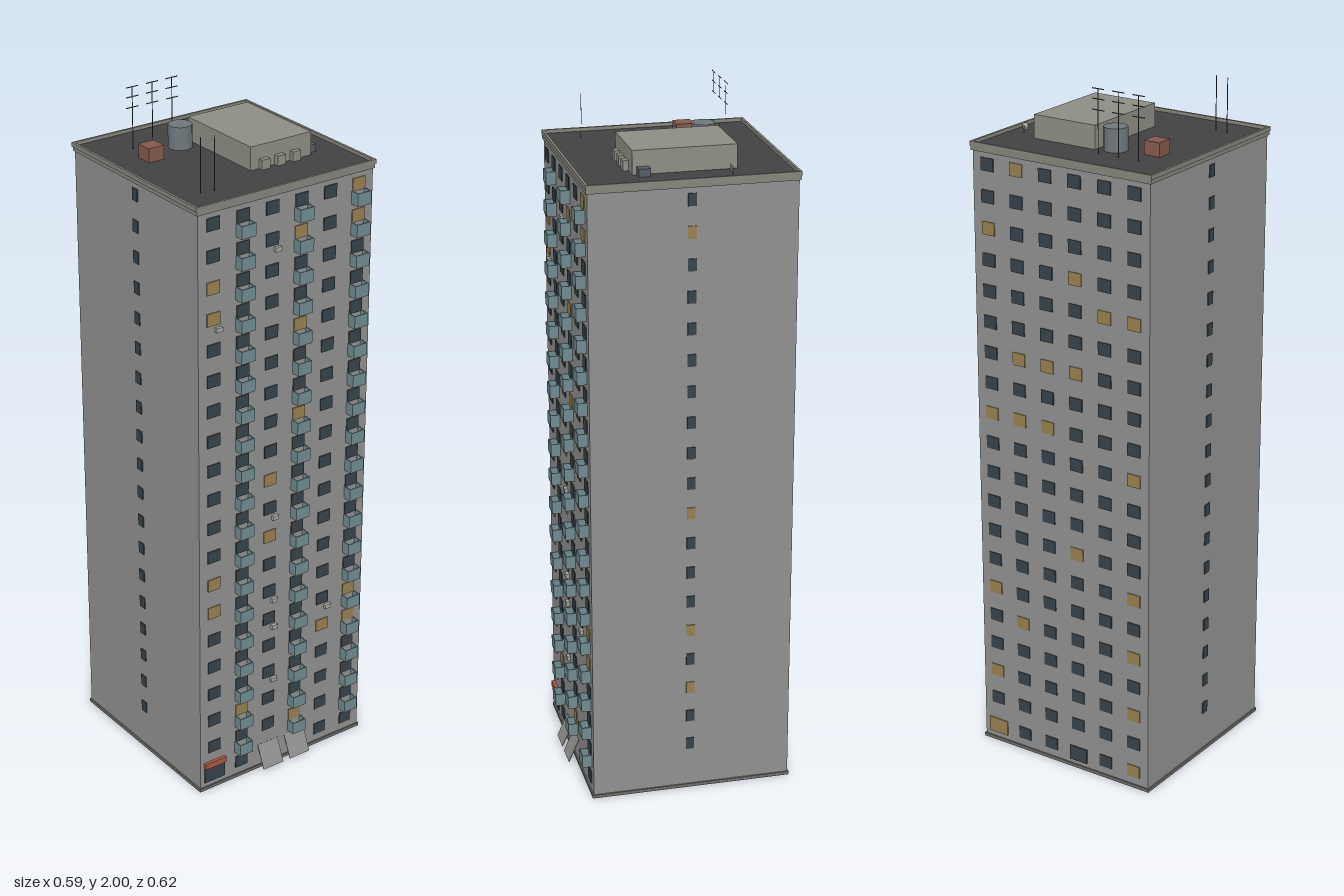
import * as THREE from 'three';
import { mergeGeometries } from 'three/addons/utils/BufferGeometryUtils.js';

const CZ = -0.015, FRONT = 0.275, BACK = -0.305, SIDE = 0.29;
const COLS = [0, 1, 2, 3, 4, 5].map((i) => -0.241 + i * 0.0965);
const rowY = (r) => 0.052 + r * 0.0905;

const box = (w, h, d, x, y, z) => new THREE.BoxGeometry(w, h, d).translate(x, y, z);
const plate = (w, h, x, y, z) => new THREE.PlaneGeometry(w, h).translate(x, y, z);

export function createModel() {
  const model = new THREE.Group();
  const add = (name, color, geos, side = THREE.FrontSide) => {
    const mesh = new THREE.Mesh(
      mergeGeometries(geos),
      new THREE.MeshStandardMaterial({ color, side, flatShading: true })
    );
    mesh.name = name;
    model.add(mesh);
  };

  // Tower block, plinth and roof
  add('tower', 0x8f908f, [box(0.58, 1.81, 0.58, 0, 0.905, CZ)]);
  add('plinth', 0x6c6c6a, [box(0.588, 0.01, 0.588, 0, 0.005, CZ)]);
  add('roofDeck', 0x414143, [box(0.582, 0.01, 0.578, 0, 1.815, CZ)]);
  const parapet = [];
  for (const s of [-1, 1]) {
    parapet.push(box(0.594, 0.013, 0.007, 0, 1.8235, CZ + s * 0.2915));
    parapet.push(box(0.007, 0.013, 0.576, s * 0.2935, 1.8235, CZ));
    parapet.push(box(0.588, 0.012, 0.006, 0, 1.811, CZ + s * 0.291));
    parapet.push(box(0.004, 0.012, 0.58, s * 0.292, 1.811, CZ));
  }
  add('parapet', 0x85847c, parapet);

  // Windows: rows listed per column are lit
  const dark = [], lit = [];
  const frontLit = [[17, 16, 7, 6], [2], [10, 8], [18, 15, 12, 1], [4], [19, 18, 5, 4]];
  const backLit = [[17, 11, 5, 2], [19, 13, 11, 4], [13, 11], [16, 13, 7], [15], [15, 10, 6, 4, 2, 0]];
  const sideLit = [18, 9, 5, 3];
  COLS.forEach((x, c) => {
    for (let r = 0; r < 20; r++) {
      // Ground-floor openings replace some of the windows
      if (r > 0 || ![0, 2, 3].includes(c)) {
        (frontLit[c].includes(r) ? lit : dark).push(box(0.042, 0.037, 0.004, x, rowY(r), FRONT + 0.001));
      }
      const b = 5 - c;
      if (r > 0 || ![0, 3].includes(b)) {
        (backLit[b].includes(r) ? lit : dark).push(box(0.042, 0.037, 0.004, x, rowY(r), BACK - 0.001));
      }
    }
  });
  for (let r = 1; r < 20; r++) {
    for (const s of [-1, 1]) {
      const on = s > 0 && sideLit.includes(r);
      (on ? lit : dark).push(box(0.004, 0.035, 0.024, s * (SIDE + 0.001), rowY(r), -0.01));
    }
  }
  // Wide ground-floor openings
  dark.push(box(0.07, 0.046, 0.005, COLS[0], 0.048, FRONT + 0.001));
  dark.push(box(0.06, 0.045, 0.005, COLS[2], 0.045, BACK - 0.001));
  lit.push(box(0.065, 0.046, 0.005, COLS[5], 0.048, BACK - 0.001));
  add('darkWindows', 0x36424a, dark);
  add('litWindows', 0x98804f, lit);
  add('shopAwning', 0xa9573f, [box(0.072, 0.018, 0.01, COLS[0], 0.084, FRONT + 0.005)]);

  // Balconies on alternate columns
  const floors = [], panels = [];
  for (const c of [1, 3, 5]) {
    for (let r = 1; r < 20; r++) {
      const x = COLS[c], y = rowY(r) - 0.036;
      floors.push(box(0.046, 0.004, 0.028, x, y - 0.017, FRONT + 0.013));
      panels.push(box(0.046, 0.034, 0.003, x, y + 0.002, FRONT + 0.0265));
      for (const s of [-1, 1]) panels.push(box(0.003, 0.034, 0.025, x + s * 0.0215, y + 0.002, FRONT + 0.0125));
    }
  }
  add('balconyFloors', 0x82837f, floors);
  add('balconyPanels', 0x6f8b91, panels);

  // Sloping entrance covers
  add('entranceCovers', 0x8f908c, [2, 3].map((c) =>
    new THREE.BoxGeometry(0.072, 0.077, 0.002).rotateX(-0.41).translate(COLS[c], 0.044, FRONT + 0.0155)));

  // Wall-mounted cooling units
  const units = [[-0.225, 1.467], [-0.032, 1.65], [-0.032, 0.833], [-0.032, 0.563],
    [-0.032, 0.473], [-0.032, 0.294], [0.162, 0.473]];
  add('coolingUnits', 0xa6a6a0, units.map(([x, y]) => box(0.02, 0.013, 0.01, x, y, FRONT + 0.005)));

  // Rooftop plant
  add('plantRoom', 0x8e8d84, [box(0.203, 0.068, 0.29, 0.0885, 1.853, -0.015)]);
  add('roofVents', 0x8e8d84, [0.028, 0.08, 0.132].map((x) => box(0.027, 0.028, 0.016, x, 1.834, 0.137)));
  add('sideUnit', 0x565b66, [box(0.028, 0.022, 0.033, 0.203, 1.831, 0.101)]);
  add('brickStack', 0x85594c, [box(0.05, 0.04, 0.05, -0.175, 1.84, -0.102)]);
  add('waterTank', 0x6f777a, [new THREE.CylinderGeometry(0.034, 0.034, 0.066, 12).translate(-0.06, 1.853, -0.13)]);
  add('dish', 0x9a9a94, [
    new THREE.CylinderGeometry(0.011, 0.005, 0.005, 12).rotateX(Math.PI / 2).translate(0.245, 1.838, -0.13),
    new THREE.CylinderGeometry(0.0015, 0.0015, 0.02, 6).translate(0.245, 1.828, -0.133),
  ]);

  // Flat aerials with crossbars, and two plain masts
  const aerials = [plate(0.003, 0.155, -0.215, 1.8975, 0.184), plate(0.003, 0.155, -0.175, 1.8975, 0.19)];
  for (const x of [-0.175, -0.11, -0.045]) {
    aerials.push(plate(0.003, 0.18, x, 1.91, -0.19));
    for (const y of [1.94, 1.97, 1.998]) aerials.push(plate(0.04, 0.003, x, y, -0.19));
  }
  add('aerials', 0x4a4a4c, aerials, THREE.DoubleSide);

  return model;
}
